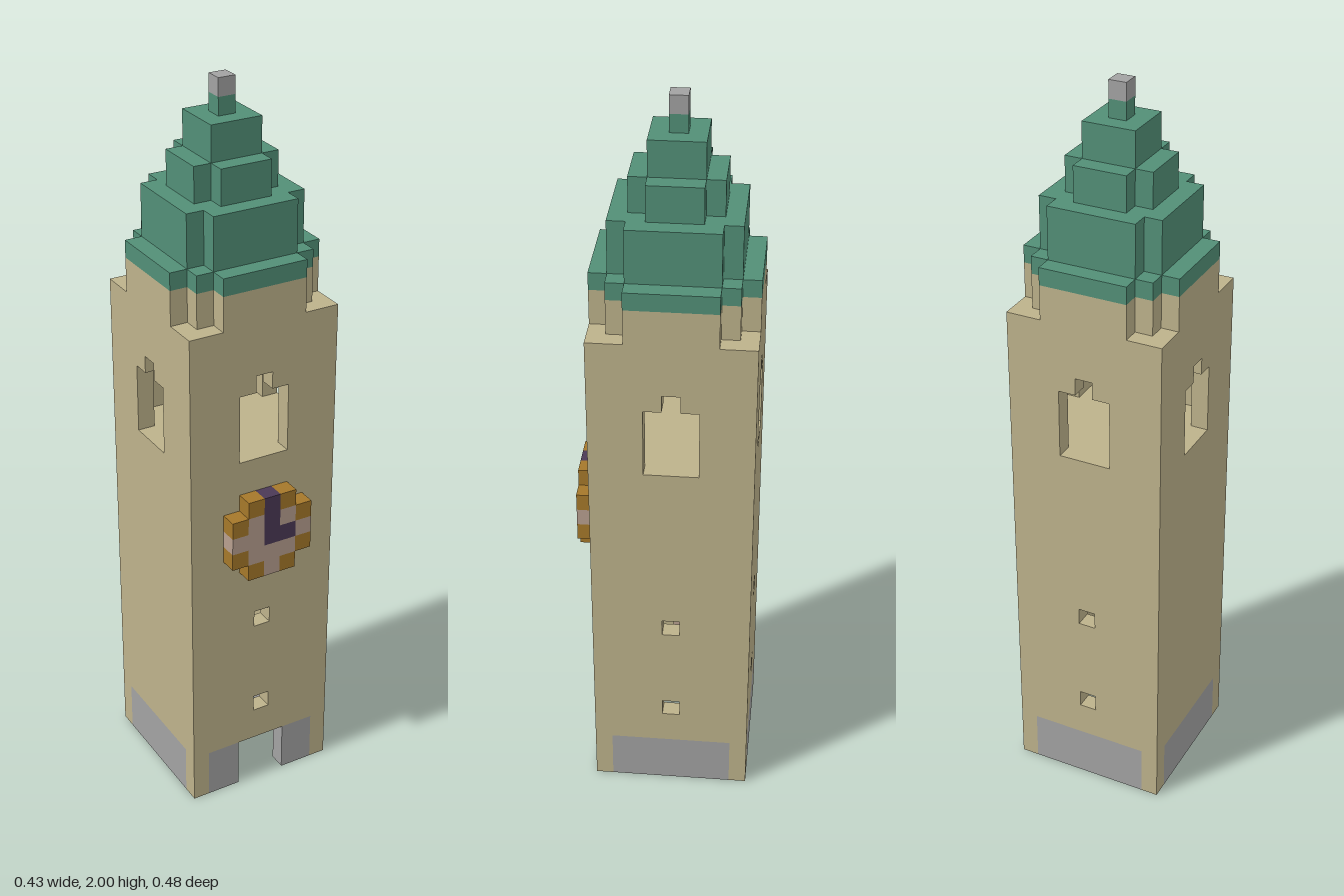
import * as THREE from 'three';

const U = 2 / 42; // one block

function mat(name, color) {
  const m = new THREE.MeshStandardMaterial({ color });
  m.name = name;
  return m;
}

export function createModel() {
  const stone = mat('sandstone', 0xbdb28b);
  const copper = mat('green copper', 0x528f77);
  const grey = mat('grey stone', 0xa2a2a2);
  const gold = mat('gold', 0xa5782a);
  const pink = mat('pale pink', 0xb79f8f);
  const purple = mat('dark purple', 0x4b3956);

  const model = new THREE.Group();
  model.name = 'clockTower';
  // Work in block units, with the tower axis at x = z = 0
  const tower = new THREE.Group();
  tower.name = 'tower';
  tower.scale.setScalar(U);
  tower.position.z = -0.5 * U;
  model.add(tower);

  const add = (name, geo, material, parent = tower) => {
    const mesh = new THREE.Mesh(geo, material);
    mesh.name = name;
    parent.add(mesh);
    return mesh;
  };
  // Box centred on x and z, standing on y
  const box = (name, material, w, h, d, x, y, z, parent) => {
    add(name, new THREE.BoxGeometry(w, h, d), material, parent).position.set(x, y + h / 2, z);
  };
  const shapeOf = (pts, Type = THREE.Shape) => new Type(pts.map(([x, y]) => new THREE.Vector2(x, y)));

  // Walls: upright slabs with a belfry opening and optional small windows
  const belfry = [[-1.5, 22], [1.5, 22], [1.5, 26], [0.5, 26], [0.5, 27], [-0.5, 27], [-0.5, 26], [-1.5, 26]];
  const slit = (y) => [[-0.5, y], [0.5, y], [0.5, y + 1], [-0.5, y + 1]];
  const wall = (name, half, angle, slits) => {
    const shape = shapeOf([[-half, 3], [half, 3], [half, 30], [-half, 30]]);
    const holes = slits ? [belfry, slit(5), slit(11)] : [belfry];
    holes.forEach((h) => shape.holes.push(shapeOf(h, THREE.Path)));
    const geo = new THREE.ExtrudeGeometry(shape, { depth: 1, bevelEnabled: false });
    geo.translate(0, 0, 3.5);
    geo.rotateY(angle);
    add(name, geo, stone);
  };
  wall('frontWall', 4.5, 0, true);
  wall('backWall', 4.5, Math.PI, true);
  wall('leftWall', 3.5, Math.PI / 2, true);
  wall('rightWall', 3.5, -Math.PI / 2, false);

  // Base: sandstone corner posts, grey plinth panels and an open doorway
  for (const sx of [-1, 1]) {
    for (const sz of [-1, 1]) box('cornerPost', stone, 1, 3, 1, sx * 4, 0, sz * 4);
    box('sidePlinth', grey, 1, 3, 7, sx * 4, 0, 0);
    box('doorSidePlinth', grey, 2, 3, 1, sx * 2.5, 0, 4);
  }
  box('backPlinth', grey, 7, 3, 1, 0, 0, -4);

  // Inside: belfry floor and the climbing post below it
  box('belfryFloor', stone, 7, 1, 7, 0, 21, 0);
  box('climbingPost', pink, 1, 21, 1, -3, 0, 0);

  // Stepped layers: one quarter of the outline, turned four times
  const layer = (name, material, quarter, y, h) => {
    const pts = [];
    for (let i = 0; i < 4; i++) {
      const c = [1, 0, -1, 0][i], s = [0, 1, 0, -1][i];
      quarter.forEach(([x, z]) => pts.push([x * c - z * s, x * s + z * c]));
    }
    const geo = new THREE.ExtrudeGeometry(shapeOf(pts), { depth: h, bevelEnabled: false });
    geo.rotateX(-Math.PI / 2);
    geo.translate(0, y, 0);
    add(name, geo, material);
  };
  const eave = [[4.5, 2.5], [3.5, 2.5], [3.5, 3.5], [2.5, 3.5], [2.5, 4.5]];
  layer('upperWall', stone, eave, 30, 2);
  layer('roofEave', copper, eave, 32, 1);
  layer('lowerRoof', copper, [[3.5, 2.5], [2.5, 2.5], [2.5, 3.5]], 33, 3);
  layer('middleRoof', copper, [[2.5, 1.5], [1.5, 1.5], [1.5, 2.5]], 36, 2);
  layer('upperRoof', copper, [[1.5, 1.5]], 38, 2);
  box('spire', copper, 1, 1, 1, 0, 40, 0);
  box('finial', grey, 1, 1, 1, 0, 41, 0);

  // Clock: five rows of blocks, top row first
  const clock = new THREE.Group();
  clock.name = 'clock';
  tower.add(clock);
  const kinds = {
    g: ['clockRim', gold], p: ['clockFace', pink], h: ['clockHand', purple],
  };
  [' ghg ', 'gphpg', 'pphhp', 'gpppg', ' gpg '].forEach((row, r) => {
    [...row].forEach((k, c) => {
      if (kinds[k]) box(...kinds[k], 1, 1, 1, c - 2, 19 - r, 5, clock);
    });
  });

  return model;
}
